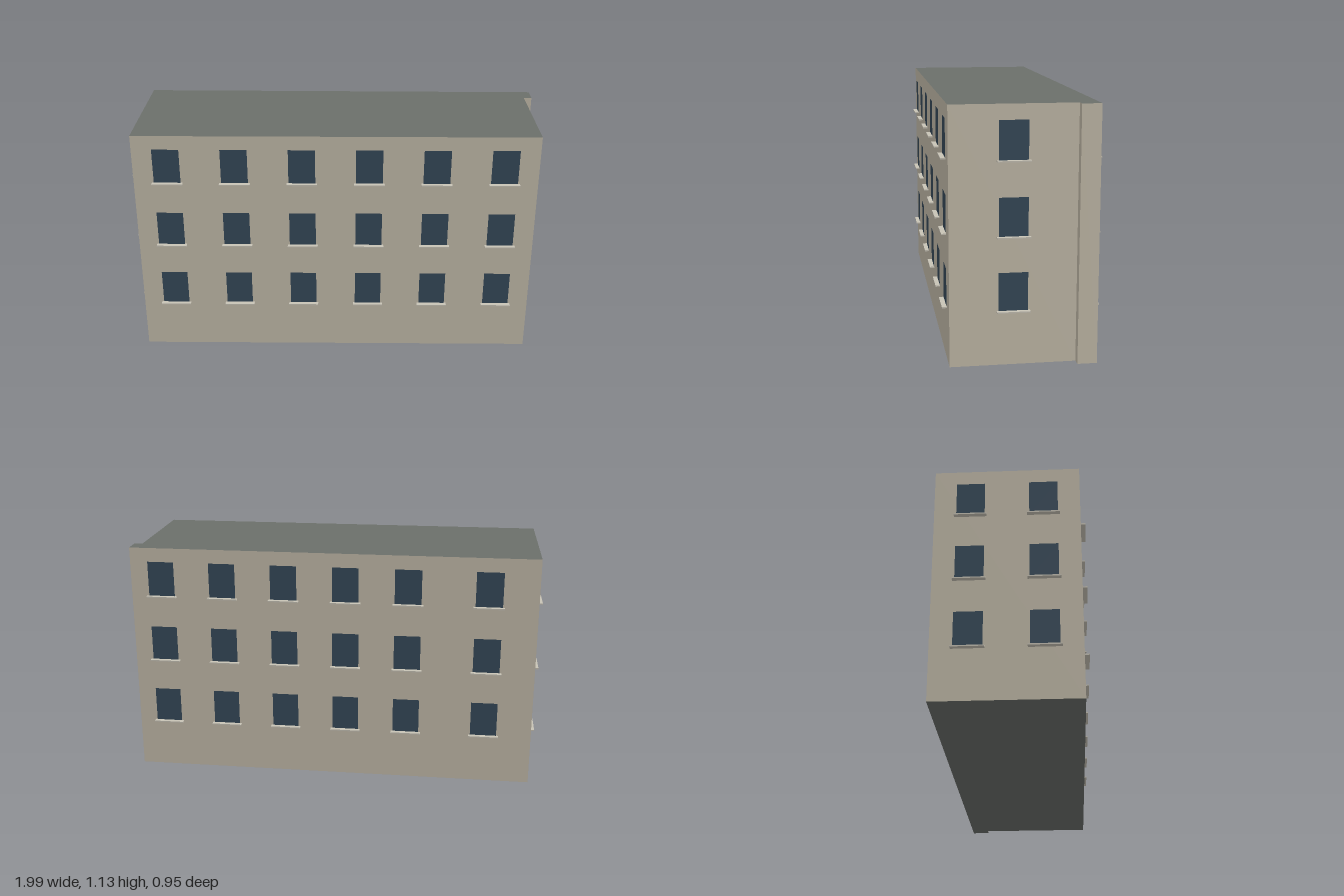
import * as THREE from 'three';

const HEIGHT = 1.13;
const FLOORS = [0.243, 0.569, 0.895]; // window sill heights
const WIN_W = 0.127, WIN_H = 0.168;

// Footprint corners as [x, z], anticlockwise seen from above
const frontLeft = [0.995, 0.175], frontRight = [-0.893, 0.463];
const backRight = [-0.99, -0.18], backLeft = [0.938, -0.461];
const notchOuter = [0.951, -0.376], notchInner = [0.912, -0.37];

export function createModel() {
  const model = new THREE.Group();
  model.name = 'apartmentBlock';

  const mat = (color) => new THREE.MeshStandardMaterial({ color });
  const wallMat = mat(0xc4bcab), roofMat = mat(0x6b6f6a);
  const glassMat = mat(0x364a5a), sillMat = mat(0xc8c3b6);

  // Body: extruded footprint, caps form the roof and base
  const outline = [frontRight, frontLeft, notchInner, notchOuter, backLeft, backRight];
  const shape = new THREE.Shape(outline.map(([x, z]) => new THREE.Vector2(x, -z)));
  const bodyGeo = new THREE.ExtrudeGeometry(shape, { depth: HEIGHT, bevelEnabled: false });
  bodyGeo.rotateX(-Math.PI / 2);
  const body = new THREE.Mesh(bodyGeo, [roofMat, wallMat]);
  body.name = 'wallsAndRoof';
  model.add(body);

  const glassGeo = new THREE.PlaneGeometry(WIN_W, WIN_H);
  const sillGeo = new THREE.BoxGeometry(0.145, 0.006, 0.022);

  // Windows along one wall from p to q, at fractions of its length, on every floor
  function addWindows(name, p, q, fractions) {
    const dx = q[0] - p[0], dz = q[1] - p[1], length = Math.hypot(dx, dz);
    const wall = new THREE.Group();
    wall.name = name;
    wall.position.set(p[0], 0, p[1]);
    wall.rotation.y = Math.atan2(-dz, dx);
    for (const t of fractions) {
      for (const y of FLOORS) {
        const glass = new THREE.Mesh(glassGeo, glassMat);
        glass.name = 'window';
        glass.position.set(t * length, y + WIN_H / 2, 0.002);
        const sill = new THREE.Mesh(sillGeo, sillMat);
        sill.name = 'windowSill';
        sill.position.set(t * length, y - 0.003, 0.012);
        wall.add(glass, sill);
      }
    }
    model.add(wall);
  }

  const even = (n, span = 1) => Array.from({ length: n }, (_, i) => (span * (i + 0.5)) / n);
  addWindows('frontWindows', frontRight, frontLeft, even(6));
  addWindows('leftWindows', frontLeft, notchInner, even(1));
  addWindows('backWindows', backLeft, backRight, [...even(5, 0.764), 0.882]);
  addWindows('rightWindows', backRight, frontRight, even(2));

  return model;
}
